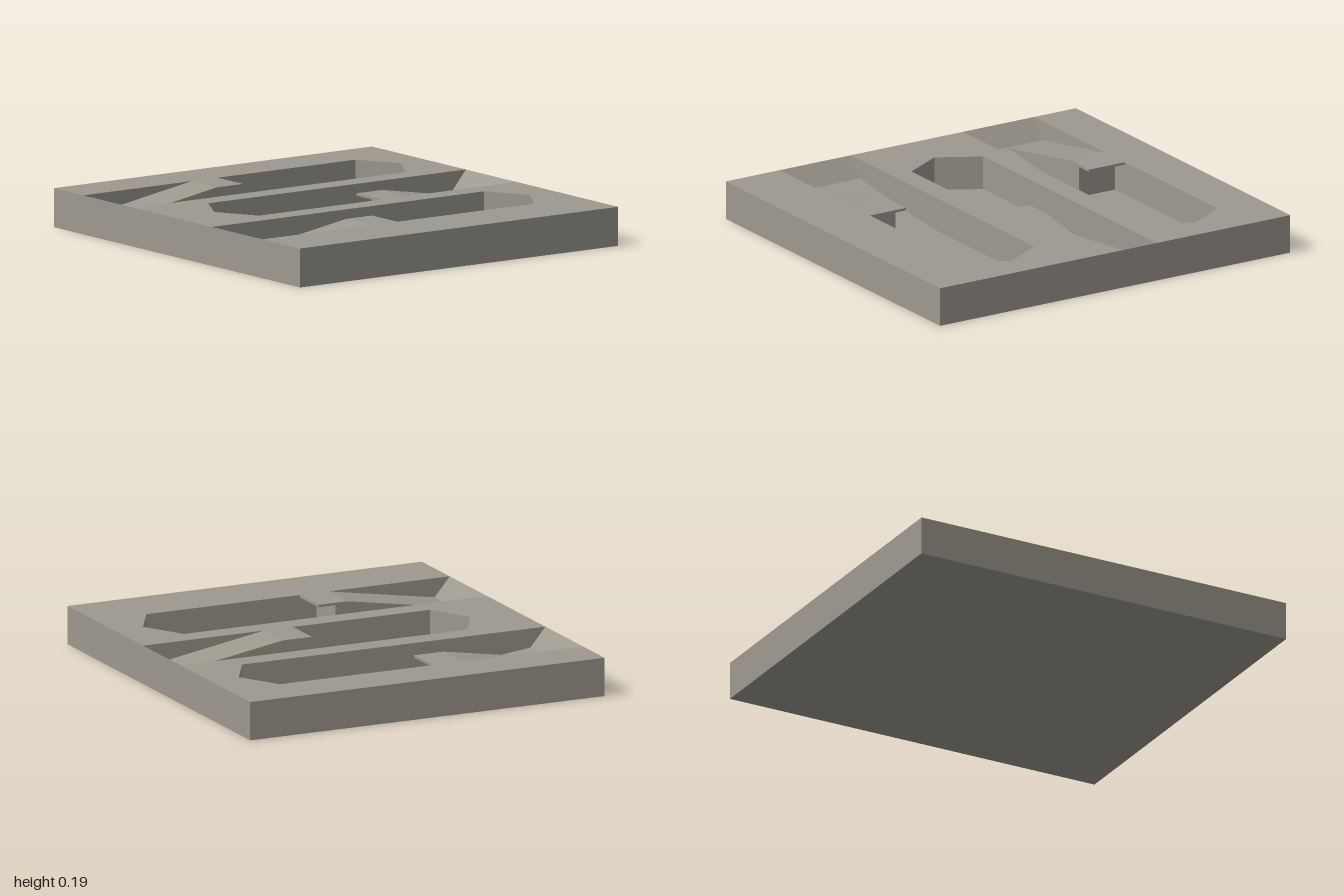
import * as THREE from 'three';

const W = 0.945, D = 1, TOP = 0.19, FLOOR = 0.025;
const HALF = 0.205; // half width of a pocket

// side: which x edge the pocket opens on; rampSide: z side holding the rising ramp
const pockets = [
  { z: -0.557, side: -1, rampSide: -1, corner: 0.672, tip: 0.79 },
  { z: -0.032, side: 1, rampSide: 1, corner: 0.585, tip: 0.7 },
  { z: 0.49, side: -1, rampSide: 1, corner: 0.672, tip: 0.79 },
];

// Profiles (x, y) for a pocket opening on the -x edge
const lane = [[-W, FLOOR], [-0.235, FLOOR], [-0.865, 0.095], [-W, TOP]];
const ramp = [[-W, FLOOR], [-0.235, FLOOR], [-0.235, 0.178], [-0.145, 0.178],
  [-0.145, TOP], [-0.3, TOP], [-0.865, 0.095], [-W, TOP]];

const toShape = (pts) => new THREE.Shape(pts.map(([x, y]) => new THREE.Vector2(x, y)));

export function createModel() {
  const model = new THREE.Group();
  const stone = new THREE.MeshStandardMaterial({ color: 0x9e998f });
  stone.name = 'warmGrey';
  const add = (geometry, name, parent = model) => {
    const mesh = new THREE.Mesh(geometry, stone);
    mesh.name = name;
    parent.add(mesh);
    return mesh;
  };

  // Solid base under the pockets
  add(new THREE.BoxGeometry(2 * W, FLOOR, 2 * D), 'base').position.y = FLOOR / 2;

  // Notch outline in (x, z), walked from low z to high z
  const notch = ({ z, side, corner, tip }) => [
    [side * W, z - HALF], [-side * corner, z - HALF], [-side * tip, z],
    [-side * corner, z + HALF], [side * W, z + HALF],
  ];
  const left = pockets.filter((p) => p.side < 0).flatMap(notch);
  const right = pockets.filter((p) => p.side > 0).flatMap(notch).reverse();
  const outline = [[-W, -D], ...left, [-W, D], [W, D], ...right, [W, -D]];

  // Upper plate cut by the pointed pockets
  const plate = new THREE.ExtrudeGeometry(toShape(outline.map(([x, z]) => [x, -z])),
    { depth: TOP - FLOOR, bevelEnabled: false });
  plate.rotateX(-Math.PI / 2).translate(0, FLOOR, 0);
  add(plate, 'pocketedPlate');

  // Sloped inserts: one lane dips to the floor, the other climbs to a thin lip
  pockets.forEach((p) => {
    const insert = new THREE.Group();
    insert.name = 'pocketSlopes';
    const half = (profile, zSide, name) => {
      let pts = profile.map(([x, y]) => [-p.side * x, y]);
      const geometry = new THREE.ExtrudeGeometry(toShape(pts), { depth: HALF, bevelEnabled: false });
      geometry.translate(0, 0, zSide > 0 ? 0 : -HALF);
      add(geometry, name, insert);
    };
    half(ramp, p.rampSide, 'risingRamp');
    half(lane, -p.rampSide, 'fallingLane');
    insert.position.z = p.z;
    model.add(insert);
  });

  return model;
}
